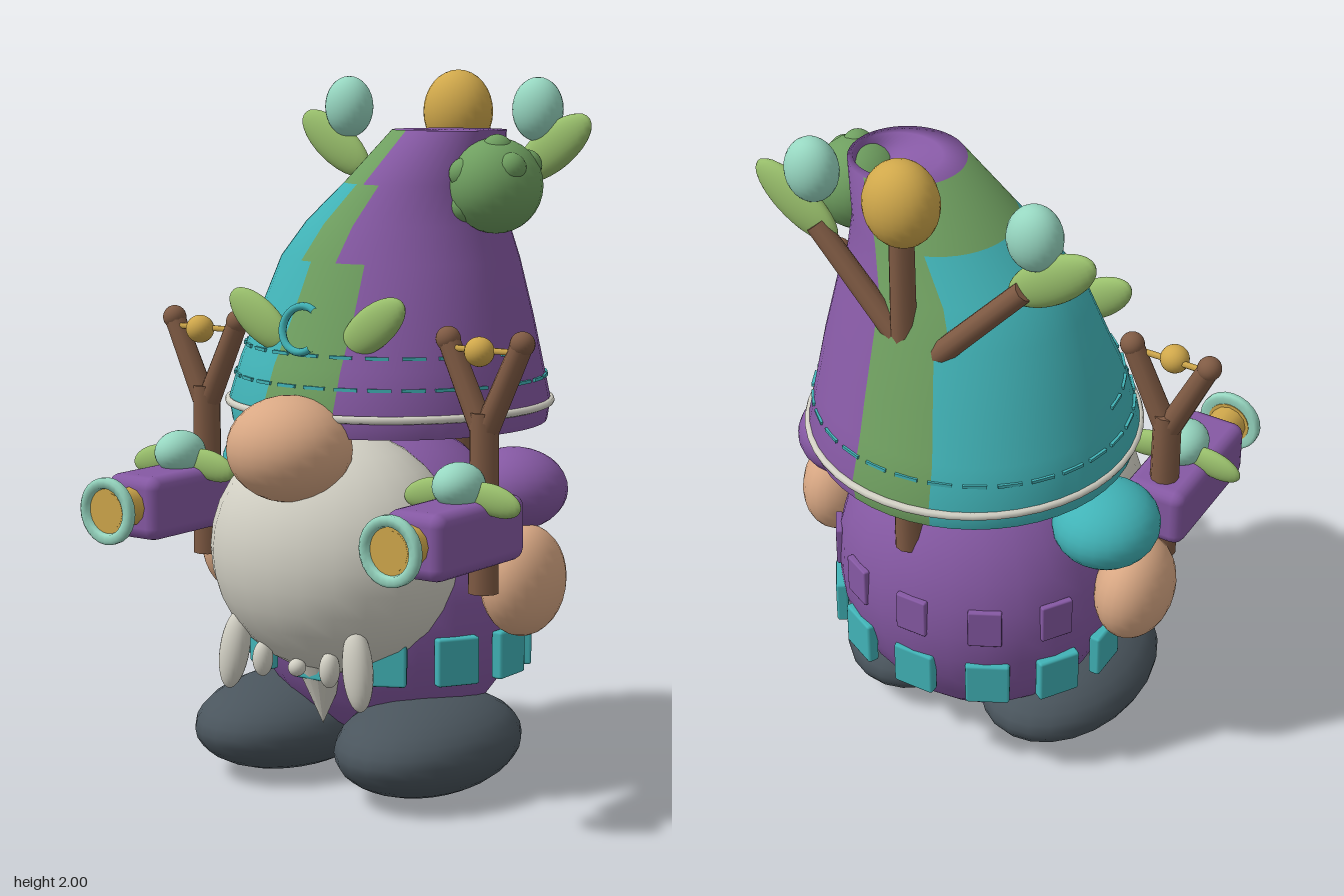
import * as THREE from 'three';
import { RoundedBoxGeometry } from 'three/addons/geometries/RoundedBoxGeometry.js';

const mat = (name, color) => {
  const m = new THREE.MeshStandardMaterial({ color });
  m.name = name;
  return m;
};

export function createModel() {
  const purple = mat('purple cloth', 0x8659a4);
  const teal = mat('teal cloth', 0x41b3b7);
  const green = mat('moss green', 0x6f9f60);
  const leafGreen = mat('leaf green', 0x98be6b);
  const mint = mat('mint', 0x97d7c1);
  const gold = mat('gold', 0xd0a84b);
  const brown = mat('brown wood', 0x805b44);
  const skin = mat('skin', 0xd9a884);
  const white = mat('off white', 0xd3d1c5);
  const slate = mat('slate boots', 0x4a555d);

  const root = new THREE.Group();
  root.name = 'gnome';

  const add = (name, geo, material, pos = [0, 0, 0], rot = [0, 0, 0], parent = root) => {
    const m = new THREE.Mesh(geo, material);
    m.name = name;
    m.position.set(...pos);
    m.rotation.set(...rot);
    parent.add(m);
    return m;
  };
  const egg = (name, material, pos, radii, rot, parent) =>
    add(name, new THREE.SphereGeometry(1, 24, 16).scale(...radii), material, pos, rot, parent);
  // round stick between two points
  const stick = (name, a, b, r0, r1, parent) => {
    const p = new THREE.Vector3(...a), q = new THREE.Vector3(...b), d = q.clone().sub(p);
    const m = add(name, new THREE.CylinderGeometry(r1, r0, d.length(), 10), brown, [0, 0, 0], [0, 0, 0], parent);
    m.position.copy(p).add(q).multiplyScalar(0.5);
    m.quaternion.setFromUnitVectors(new THREE.Vector3(0, 1, 0), d.normalize());
  };

  // body with a belt of patches and a row of raised pockets behind
  const bodyZ = -0.095;
  egg('body', purple, [0, 0.555, bodyZ], [0.42, 0.465, 0.37]);
  for (let i = 0; i < 12; i++) {
    const a = (i / 12) * Math.PI * 2;
    const s = Math.sin(a), c = Math.cos(a);
    const turn = Math.atan2(s / 0.42, c / 0.37);
    add('beltPatch', new RoundedBoxGeometry(0.125, 0.135, 0.035, 1, 0.008), teal,
      [0.418 * s, 0.395, bodyZ + 0.352 * c], [0, turn, 0]);
    if (c < -0.1) add('pocket', new RoundedBoxGeometry(0.095, 0.12, 0.02, 1, 0.005), purple,
      [0.414 * s, 0.6, bodyZ + 0.364 * c], [0, turn, 0]);
  }

  // beard with its tip and strands
  egg('beard', white, [0, 0.675, 0.15], [0.375, 0.345, 0.305]);
  add('beardTip', new THREE.ConeGeometry(0.115, 0.26, 16), white, [0, 0.32, 0.21], [Math.PI, 0, 0]);
  egg('beardStrand', white, [0, 0.375, 0.33], [0.025, 0.025, 0.025]);
  egg('nose', skin, [0, 0.988, 0.36], [0.175, 0.145, 0.168]);

  for (const s of [-1, 1]) {
    egg('beardStrand', white, [s * 0.212, 0.4, 0.338], [0.044, 0.115, 0.038], [-0.08, 0, s * 0.14]);
    egg('beardStrand', white, [s * 0.115, 0.385, 0.335], [0.028, 0.05, 0.03]);
    egg('foot', slate, [s * 0.24, 0.138, 0.035], [0.233, 0.138, 0.337], [0, s * 0.06, 0]);
    egg('shoulder', s > 0 ? purple : teal, [s * 0.42, 0.855, -0.11], [0.15, 0.115, 0.155]);
    egg('hand', skin, [s * 0.49, 0.615, -0.055], [0.107, 0.155, 0.147]);

    // blaster with a slingshot fork on top
    const g = new THREE.Group();
    g.name = s > 0 ? 'leftBlaster' : 'rightBlaster';
    g.position.x = s * 0.477;
    root.add(g);
    add('blasterBox', new RoundedBoxGeometry(0.185, 0.18, 0.42, 2, 0.035), purple, [0, 0.79, 0.262], [0, 0, 0], g);
    add('barrel', new THREE.CylinderGeometry(0.055, 0.055, 0.1, 12), gold, [0, 0.795, 0.515], [Math.PI / 2, 0, 0], g);
    const rim = [[0.06, -0.01], [0.085, -0.016], [0.094, -0.008], [0.094, 0.008], [0.085, 0.016], [0.066, 0.014], [0.06, -0.01]];
    add('muzzleRing', new THREE.LatheGeometry(rim.map(p => new THREE.Vector2(...p)), 24), mint,
      [0, 0.795, 0.563], [Math.PI / 2, 0, 0], g);
    add('muzzle', new THREE.CylinderGeometry(0.064, 0.064, 0.015, 24), gold, [0, 0.795, 0.557], [Math.PI / 2, 0, 0], g);
    stick('forkHandle', [0, 0.61, 0.128], [0, 1.1, 0.128], 0.043, 0.04, g);
    for (const t of [-1, 1]) {
      stick('forkProng', [t * 0.01, 1.06, 0.128], [t * 0.117, 1.29, 0.128], 0.035, 0.031, g);
      egg('prongTip', brown, [t * 0.117, 1.29, 0.128], [0.034, 0.034, 0.034], [0, 0, 0], g);
      egg('boxLeaf', leafGreen, [t * 0.1, 0.888, 0.235], [0.085, 0.042, 0.024], [0, 0, -t * 0.22], g);
    }
    add('sling', new THREE.CylinderGeometry(0.009, 0.009, 0.22, 6), gold, [0, 1.268, 0.14], [0, 0, Math.PI / 2], g);
    egg('slingBall', gold, [0, 1.265, 0.155], [0.041, 0.04, 0.04], [0, 0, 0], g);
    egg('boxBud', mint, [0, 0.92, 0.25], [0.068, 0.062, 0.08], [0, 0, 0], g);

    // side twigs at the back and leaves on the hat front
    stick('sideTwig', [s * 0.04, 1.44, -0.385], [s * 0.31, 1.74, -0.385], 0.033, 0.03);
    egg('twigBud', mint, [s * 0.328, 1.89, -0.368], [0.075, 0.09, 0.065]);
    egg('twigLeaf', leafGreen, [s * 0.378, 1.782, -0.37], [0.145, 0.063, 0.033], [0, 0, -s * -0.62]);
    egg('hatLeaf', leafGreen, [s * 0.192, 1.318, 0.24], [0.122, 0.058, 0.03], [0, 0, s * 0.62]);
  }

  // centre twig at the back
  stick('centreTwig', [0.05, 0.78, -0.385], [0.05, 1.82, -0.385], 0.04, 0.034);
  egg('centreBud', gold, [0.05, 1.88, -0.382], [0.104, 0.12, 0.092]);

  // hat: rings of [x, y, radius x, radius z], leaning left, with a flat top that sinks towards the pompom
  const hatZ = -0.112, N = 48;
  const rings = [
    [0, 1.02, 0.45, 0.445], [0, 1.08, 0.46, 0.454], [0.005, 1.2, 0.435, 0.412],
    [0.02, 1.32, 0.4, 0.365], [0.035, 1.48, 0.35, 0.308], [0.06, 1.58, 0.295, 0.262],
    [0.115, 1.69, 0.225, 0.216], [0.2, 1.838, 0.16, 0.155], [0.23, 1.832, 0.12, 0.115],
    [0.28, 1.8, 0.07, 0.07], [0.33, 1.75, 0.03, 0.03],
  ];
  const verts = [];
  for (const [cx, cy, rx, rz] of rings)
    for (let j = 0; j < N; j++) {
      const a = (j / N) * Math.PI * 2;
      verts.push(cx + Math.sin(a) * rx, cy, hatZ + Math.cos(a) * rz);
    }
  const faces = [[], [], []]; // teal, green, purple
  for (let i = 0; i < rings.length - 1; i++)
    for (let j = 0; j < N; j++) {
      const a = ((j + 0.5) / N) * Math.PI * 2, s = Math.sin(a), front = Math.cos(a) > 0;
      const tealEdge = i < 4 ? -0.28 : i < 6 ? -0.38 : -2;
      const purpleEdge = i > 6 ? -2 : i === 6 ? (front ? -0.3 : 0.2) : i > 3 && front ? -0.05 : 0.28;
      const k = s > purpleEdge ? 2 : s < tealEdge ? 0 : 1;
      const p = i * N + j, q = i * N + (j + 1) % N;
      faces[k].push(p, q, q + N, p, q + N, p + N);
    }
  const hatGeo = new THREE.BufferGeometry();
  hatGeo.setAttribute('position', new THREE.Float32BufferAttribute(verts, 3));
  hatGeo.setIndex(faces.flat());
  let start = 0;
  faces.forEach((f, k) => { hatGeo.addGroup(start, f.length, k); start += f.length; });
  hatGeo.computeVertexNormals();
  add('hat', hatGeo, [teal, green, purple]);
  add('hatUnderside', new THREE.CircleGeometry(1, N).scale(0.45, 0.445, 1), green, [0, 1.022, hatZ], [Math.PI / 2, 0, 0]);
  add('hatTrim', new THREE.TorusGeometry(0.459, 0.011, 8, N), white, [0, 1.075, hatZ], [Math.PI / 2, 0, 0]);

  // dashed stitching: a full row, and a second row on the front half
  for (const [y, rx, rz, cx, count, arc] of [[1.152, 0.446, 0.427, 0.003, 30, 2], [1.235, 0.424, 0.398, 0.009, 13, 1]])
    for (let i = 0; i < count; i++) {
      const a = ((i + 0.5) / count - 0.5) * Math.PI * arc;
      add('stitch', new THREE.BoxGeometry(0.065, 0.009, 0.01), teal,
        [cx + rx * Math.sin(a), y, hatZ + rz * Math.cos(a)], [0, a, 0]);
    }
  // open hoop ornament
  add('hatHoop', new THREE.TorusGeometry(0.063, 0.011, 8, 24, Math.PI * 1.4), teal, [-0.015, 1.305, 0.285], [-0.2, 0, Math.PI * 0.3]);

  // mossy pompom on the tip
  const pom = [0.378, 1.69, -0.075];
  egg('pompom', green, pom, [0.127, 0.13, 0.133]);
  for (const d of [[-0.55, -0.55, 0.65], [-0.5, 0.35, 0.8], [0.15, 0.95, 0.2], [0.75, 0.5, 0.45], [0.6, 0.55, -0.6]]) {
    const v = new THREE.Vector3(...d).normalize().multiplyScalar(0.1);
    egg('pompomBump', green, [pom[0] + v.x, pom[1] + v.y, pom[2] + v.z], [0.043, 0.043, 0.043]);
  }
  return root;
}
